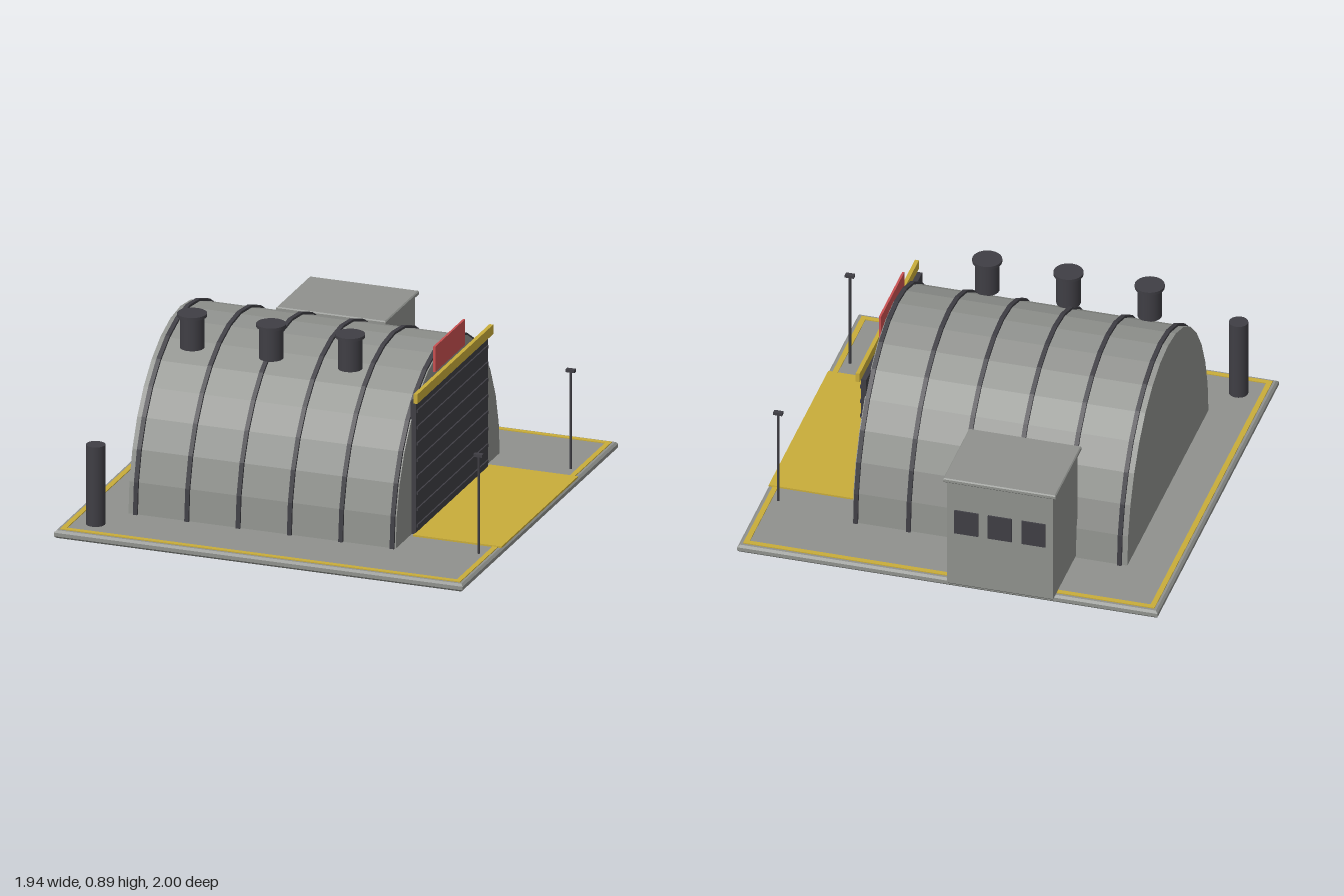
import * as THREE from 'three';

const mat = (name, color) => {
  const m = new THREE.MeshStandardMaterial({ color });
  m.name = name;
  return m;
};

export function createModel() {
  const grey = mat('concreteGrey', 0x8f918d);
  const dark = mat('darkSteel', 0x3f3e44);
  const yellow = mat('safetyYellow', 0xc8ac3a);
  const red = mat('signRed', 0xc84f50);

  const group = new THREE.Group();
  const CZ = 0.027; // z centre of the yard and hangar
  const FLOOR = 0.037;

  const add = (name, geometry, material, x = 0, y = 0, z = 0) => {
    const mesh = new THREE.Mesh(geometry, material);
    mesh.name = name;
    mesh.position.set(x, y, z);
    group.add(mesh);
    return mesh;
  };
  const box = (name, material, w, h, d, x, y, z) =>
    add(name, new THREE.BoxGeometry(w, h, d), material, x, y, z);
  const cylinder = (name, material, r, y0, y1, x, z, sides = 24) =>
    add(name, new THREE.CylinderGeometry(r, r, y1 - y0, sides), material, x, (y0 + y1) / 2, z);

  // Box with chamfered edges, standing on y0
  const slab = (name, w, h, d, b, x, y0, z) => {
    const hw = w / 2 - b, hd = d / 2 - b;
    const shape = new THREE.Shape([
      new THREE.Vector2(-hw, -hd), new THREE.Vector2(hw, -hd),
      new THREE.Vector2(hw, hd), new THREE.Vector2(-hw, hd),
    ]);
    const geo = new THREE.ExtrudeGeometry(shape, {
      depth: h - 2 * b, bevelEnabled: true, bevelThickness: b, bevelSize: b, bevelSegments: 1,
    });
    geo.rotateX(-Math.PI / 2);
    return add(name, geo, grey, x, y0 + b, z);
  };

  // Half-ellipse points for the vault and its ribs
  const arch = (rz, ry) => Array.from({ length: 17 }, (_, i) => {
    const a = (i / 16) * Math.PI;
    return new THREE.Vector2(rz * Math.cos(a), ry * Math.sin(a));
  });
  const extrudeX = (points, length) => {
    const geo = new THREE.ExtrudeGeometry(new THREE.Shape(points), { depth: length, bevelEnabled: false });
    geo.translate(0, 0, -length / 2);
    geo.rotateY(Math.PI / 2);
    return geo;
  };

  // Yard slab with painted border
  slab('yardSlab', 1.94, FLOOR, 1.945, 0.01, 0, 0, CZ);
  for (const s of [-1, 1]) {
    box('borderStripeSide', yellow, 0.024, 0.004, 1.9, s * 0.937, FLOOR + 0.002, CZ);
    box('borderStripeEnd', yellow, 1.898, 0.004, 0.024, 0, FLOOR + 0.002, CZ + s * 0.938);
  }
  box('apron', yellow, 0.42, 0.008, 0.955, 0.757, FLOOR + 0.004, CZ);

  // Vaulted hangar shell and ribs
  add('hangarShell', extrudeX(arch(0.65, 0.755), 1.268), grey, -0.104, FLOOR, CZ);
  const ribGeo = extrudeX([...arch(0.661, 0.766), ...arch(0.642, 0.747).reverse()], 0.02);
  for (let i = 0; i < 6; i++) add('rib', ribGeo, dark, -0.703 + i * 0.2435, FLOOR, CZ);

  // Slatted door, lintel and sign board
  box('door', dark, 0.025, 0.628, 0.9, 0.5375, 0.351, CZ);
  for (let i = 0; i < 8; i++) box('doorSlat', dark, 0.01, 0.014, 0.88, 0.552, 0.074 + i * 0.0775, CZ);
  box('lintel', yellow, 0.018, 0.045, 0.95, 0.557, 0.688, CZ);
  box('signBoard', red, 0.01, 0.12, 0.375, 0.537, 0.773, CZ);

  // Roof vents
  for (const x of [-0.565, -0.19, 0.185]) {
    cylinder('ventPipe', dark, 0.055, 0.728, 0.878, x, 0.337);
    cylinder('ventCap', dark, 0.067, 0.876, 0.89, x, 0.337);
  }

  // Chimney
  cylinder('chimney', dark, 0.043, FLOOR, 0.413, -0.827, 0.852);

  // Annex with roof slab and rear windows
  slab('annex', 0.49, 0.549, 0.39, 0.008, -0.255, FLOOR, -0.79);
  slab('annexRoof', 0.52, 0.022, 0.42, 0.005, -0.255, 0.583, -0.79);
  for (const i of [-1, 0, 1]) box('annexWindow', dark, 0.11, 0.12, 0.009, -0.255 + i * 0.155, 0.377, -0.988);

  // Lamp posts beside the apron
  for (const s of [-1, 1]) {
    const z = CZ + s * 0.575;
    cylinder('lampPole', dark, 0.006, FLOOR, 0.5, 0.895, z, 8);
    box('lampHead', dark, 0.042, 0.014, 0.022, 0.895, 0.502, z);
  }

  return group;
}
